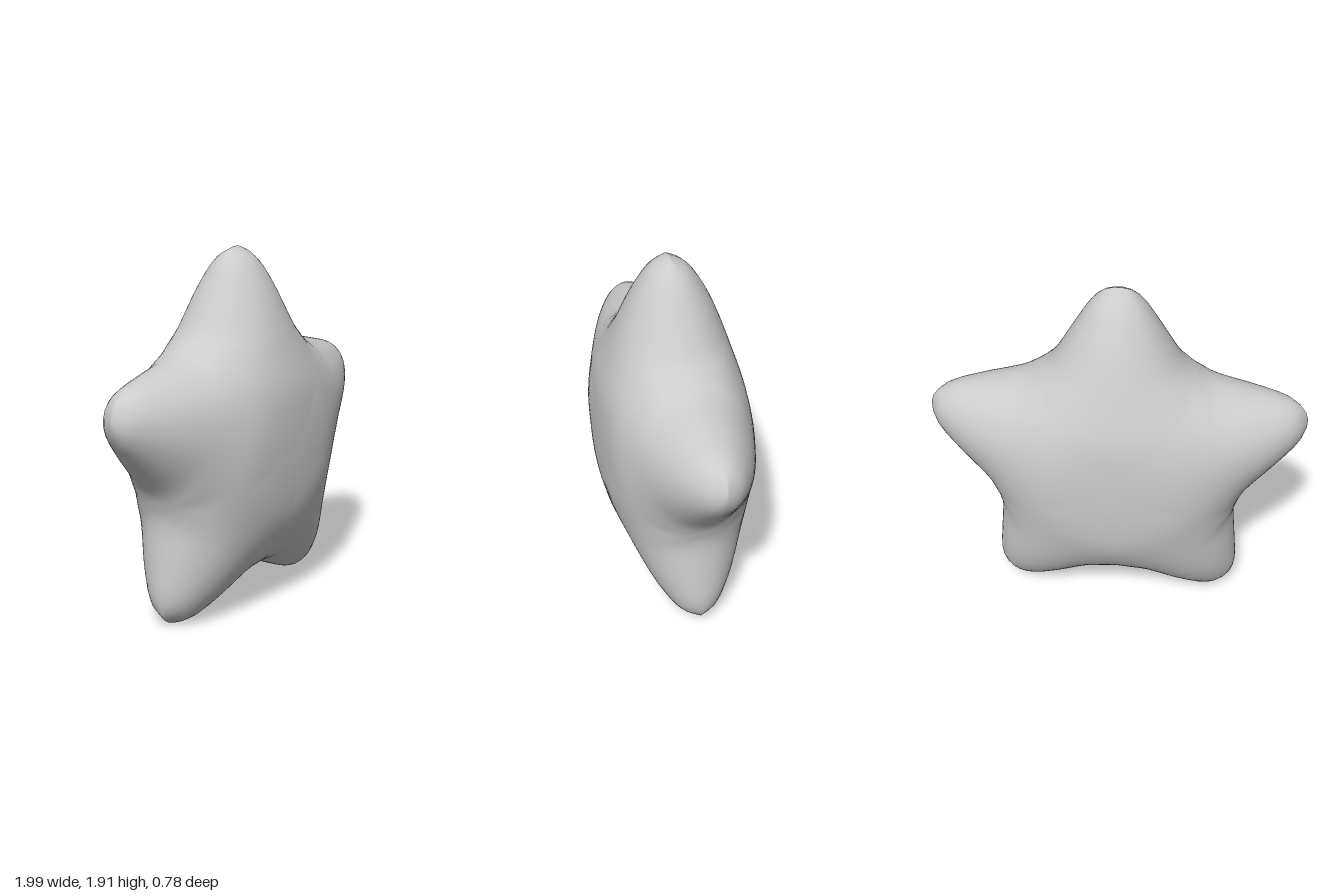
import * as THREE from 'three';
import { mergeVertices } from 'three/addons/utils/BufferGeometryUtils.js';

const CENTRE_Y = 0.866;
const TIP = 1.039;

// Returns a lookup for a smooth curve through [distance, value] points.
function profile(points) {
  const pts = new THREE.SplineCurve(points.map(([x, y]) => new THREE.Vector2(x, y))).getPoints(80);
  return (u) => {
    let i = 1;
    while (i < pts.length - 1 && pts[i].x < u) i++;
    const a = pts[i - 1], b = pts[i];
    const k = THREE.MathUtils.clamp((u - a.x) / (b.x - a.x), 0, 1);
    return a.y + (b.y - a.y) * k;
  };
}

// Half-width and half-thickness of an arm, by distance from the centre.
const armWidth = profile([[0, 1.1], [0.4, 0.6], [0.565, 0.41], [0.596, 0.371], [0.66, 0.319],
  [0.81, 0.229], [0.96, 0.135], [TIP, 0.045]]);
const armDepth = profile([[0, 0.39], [0.15, 0.388], [0.335, 0.37], [0.52, 0.315], [0.705, 0.25],
  [0.86, 0.18], [0.985, 0.095], [TIP, 0]]);

// Outline radius along a ray at angle a from an arm's axis.
function outlineRadius(a) {
  let lo = 0, hi = 1.1;
  for (let i = 0; i < 30; i++) {
    const r = (lo + hi) / 2;
    const u = r * Math.cos(a);
    if (u < TIP && r * Math.sin(a) < armWidth(u)) lo = r;
    else hi = r;
  }
  return lo;
}

export function createModel() {
  const group = new THREE.Group();
  group.name = 'puffyStar';

  // A sphere with its poles on z, reshaped into five rounded arms.
  let geo = new THREE.SphereGeometry(1, 150, 48);
  geo.rotateX(Math.PI / 2);
  geo.deleteAttribute('uv');
  geo.deleteAttribute('normal');
  const pos = geo.attributes.position;
  const sector = (Math.PI * 2) / 5;
  for (let i = 0; i < pos.count; i++) {
    const x = pos.getX(i), y = pos.getY(i), z = pos.getZ(i);
    const angle = Math.atan2(x, y);
    const a = Math.abs(angle - Math.round(angle / sector) * sector);
    const r = Math.min(1, Math.hypot(x, y)) * outlineRadius(a);
    const u = r * Math.cos(a), v = r * Math.sin(a);
    // Elliptical cross-section across the arm
    const round = Math.sqrt(Math.max(0, 1 - (v / armWidth(u)) ** 2));
    const depth = Math.abs(z) < 1e-6 ? 0 : Math.sign(z) * armDepth(u) * round;
    pos.setXYZ(i, r * Math.sin(angle), CENTRE_Y + r * Math.cos(angle), depth);
  }
  geo = mergeVertices(geo, 1e-4);
  geo.computeVertexNormals();

  const star = new THREE.Mesh(geo, new THREE.MeshStandardMaterial({ color: 0xcccccc }));
  star.name = 'starBody';
  group.add(star);
  return group;
}
